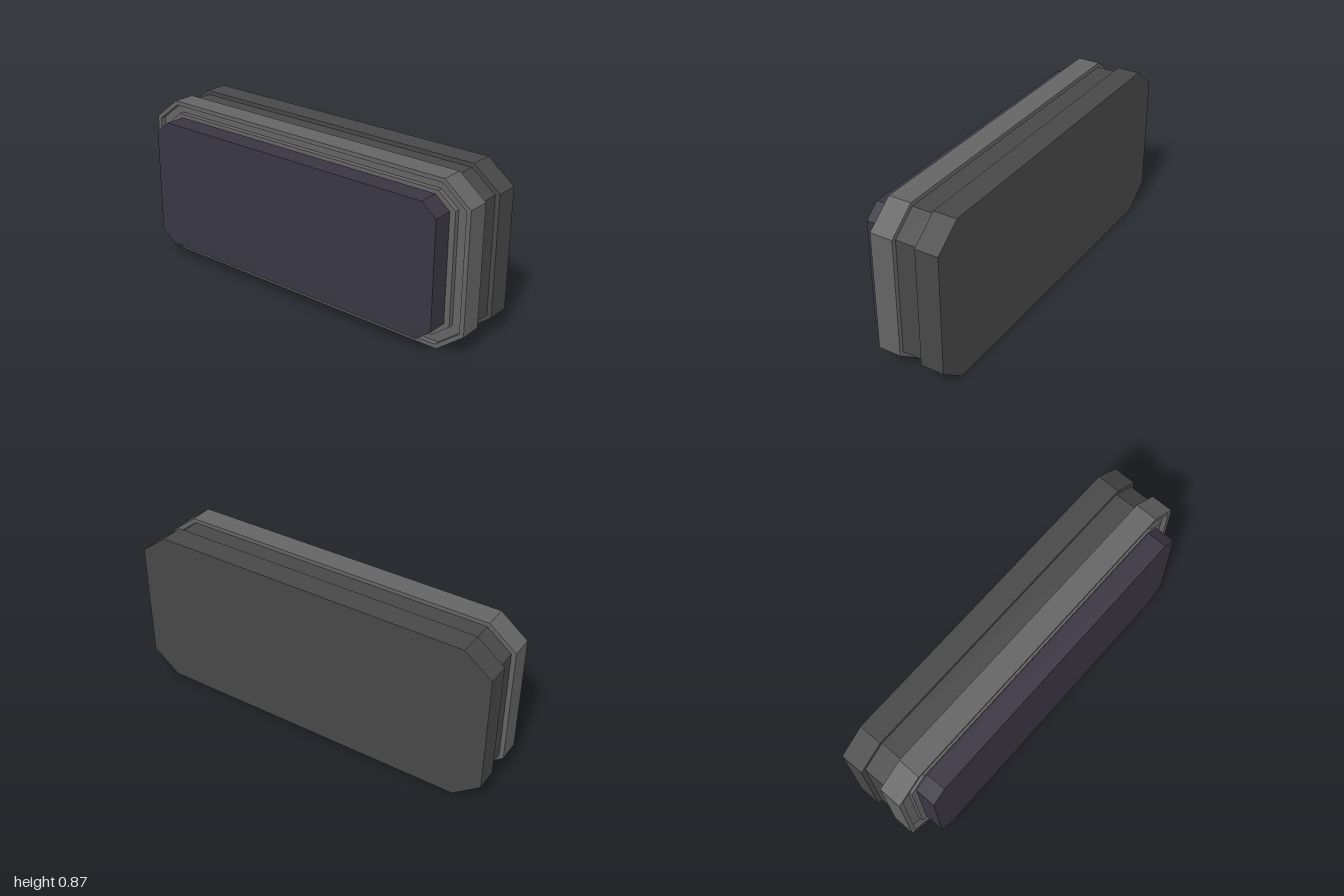
import * as THREE from 'three';

const CY = 0.4325; // height of the centre line

// Traces a rectangle (half sizes w, h) with corners cut by cx, cy
function cutRect(target, [w, h, cx, cy]) {
  const pts = [
    [w - cx, -h], [w, -h + cy], [w, h - cy], [w - cx, h],
    [-w + cx, h], [-w, h - cy], [-w, -h + cy], [-w + cx, -h],
  ];
  target.setFromPoints(pts.map(([x, y]) => new THREE.Vector2(x, y)));
  return target;
}

// A slab from z0 to z1, optionally with an opening
function slab(name, color, outline, z0, z1, hole) {
  const shape = cutRect(new THREE.Shape(), outline);
  if (hole) shape.holes.push(cutRect(new THREE.Path(), hole));
  const geometry = new THREE.ExtrudeGeometry(shape, { depth: z1 - z0, bevelEnabled: false });
  geometry.translate(0, CY, z0);
  const mesh = new THREE.Mesh(geometry, new THREE.MeshStandardMaterial({ color, flatShading: true }));
  mesh.name = name;
  return mesh;
}

export function createModel() {
  const group = new THREE.Group();
  group.name = 'layeredPanel';

  // Outlines: half width, half height, corner cut in x and y
  const outer = [1.0, 0.4325, 0.145, 0.114];
  const inset = [0.976, 0.411, 0.131, 0.102];
  const plateau = [0.92, 0.368, 0.094, 0.075];
  const screen = [0.89, 0.3475, 0.08, 0.064];
  const dark = 0x484848, light = 0x646464, glass = 0x393642;

  group.add(
    // Casing: back slab, recessed middle, front slab
    slab('backSlab', dark, outer, -0.235, -0.112),
    slab('middleSlab', dark, inset, -0.112, 0.007),
    slab('frontSlab', light, outer, 0.007, 0.1),
    // Front rim and raised plateau, with a shallow groove between them
    slab('frontRim', light, outer, 0.1, 0.127, inset),
    slab('frontPlateau', light, plateau, 0.1, 0.127),
    // Front panel
    slab('frontPanel', glass, screen, 0.127, 0.235),
  );
  return group;
}
